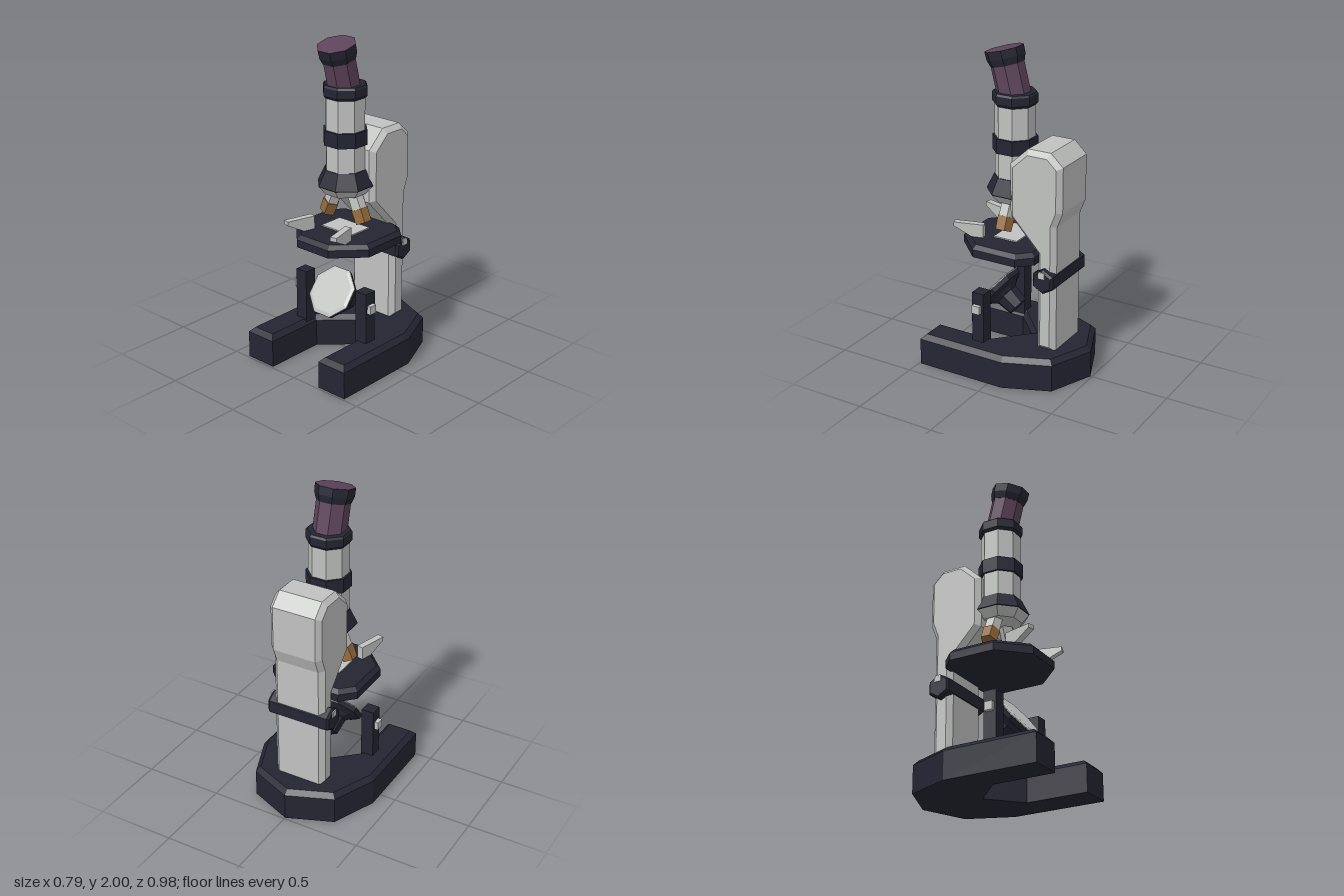
import * as THREE from 'three';

const mat = (name, color) => {
  const m = new THREE.MeshStandardMaterial({ color });
  m.name = name;
  return m;
};

// Faceted look: every triangle gets its own normal
function facet(geo) {
  const g = geo.index ? geo.toNonIndexed() : geo;
  g.computeVertexNormals();
  return g;
}

// Moves every edge of a counter-clockwise outline inwards by d
function inset(pts, d) {
  const n = pts.length;
  const inward = (a, b) => new THREE.Vector2(a.y - b.y, b.x - a.x).normalize();
  return pts.map((p, i) => {
    const n1 = inward(pts[(i + n - 1) % n], p), n2 = inward(p, pts[(i + 1) % n]);
    return n1.clone().add(n2).multiplyScalar(d / (1 + n1.dot(n2))).add(p);
  });
}

// Prism of an outline along z; levels are [height, inset] pairs, so edges can be bevelled
function prism(outline, levels) {
  let pts = outline.map(([x, y]) => new THREE.Vector2(x, y));
  if (THREE.ShapeUtils.isClockWise(pts)) pts = pts.reverse();
  const n = pts.length, pos = [], idx = [];
  for (const [h, d] of levels) for (const p of inset(pts, d)) pos.push(p.x, p.y, h);
  for (let l = 0; l < levels.length - 1; l++) {
    for (let i = 0; i < n; i++) {
      const a = l * n + i, b = l * n + (i + 1) % n;
      idx.push(a, b, b + n, a, b + n, a + n);
    }
  }
  const top = (levels.length - 1) * n;
  for (const [a, b, c] of THREE.ShapeUtils.triangulateShape(pts, [])) {
    idx.push(c, b, a, top + a, top + b, top + c);
  }
  const g = new THREE.BufferGeometry();
  g.setAttribute('position', new THREE.Float32BufferAttribute(pos, 3));
  g.setIndex(idx);
  return facet(g);
}

// Outline in (x, z), rising along y
const floorPrism = (outline, levels) =>
  prism(outline.map(([x, z]) => [x, -z]), levels).rotateX(-Math.PI / 2);
// Outline in (z, y), running along x
const sidePrism = (outline, levels) => prism(outline, levels).rotateY(-Math.PI / 2);
// Right half of an outline, completed by mirroring in x (first and last may lie on x = 0)
const mirrored = (half) =>
  [...half, ...half.filter(([x]) => x !== 0).reverse().map(([x, z]) => [-x, z])];

// Eight-sided turned part with flats to the front and sides; r is measured to the flats
const turned = (profile) => facet(new THREE.LatheGeometry(
  profile.map(([r, y]) => new THREE.Vector2(r / Math.cos(Math.PI / 8), y)),
  8, Math.PI / 8));

export function createModel() {
  const root = new THREE.Group();
  const dark = mat('dark enamel', 0x252533);
  const silver = mat('silver metal', 0xc0c2c0);
  const purple = mat('purple eyepiece', 0x5d435a);
  const brass = mat('brass', 0x946a3a);

  const add = (name, geo, material, parent = root) => {
    const m = new THREE.Mesh(geo, material);
    m.name = name;
    parent.add(m);
    return m;
  };

  // Horseshoe base
  const base = [
    [0, -0.49], [0.28, -0.375], [0.395, -0.095], [0.395, 0.487], [0.19, 0.487], [0.19, 0.1],
  ];
  const baseOutline = [...mirrored(base)];
  baseOutline.splice(base.length, 0, [0, -0.08]);
  add('base', floorPrism(baseOutline, [[0, 0], [0.17, 0], [0.2, 0.03]]), dark);

  // Arm with swollen head
  const arm = [
    [-0.2, 0.19], [-0.2, 0.81], [-0.012, 1.01], [-0.012, 1.335], [-0.13, 1.445],
    [-0.28, 1.445], [-0.36, 1.37], [-0.36, 1.09], [-0.325, 1.0], [-0.325, 0.19],
  ];
  add('arm', sidePrism(arm, [[-0.17, 0.03], [-0.14, 0], [0.14, 0], [0.17, 0.03]]), silver);

  // Focus knobs on one axle through the arm
  const hex = [];
  for (let i = 0; i < 6; i++) {
    const a = Math.PI / 2 + i * Math.PI / 3;
    hex.push([-0.263 + 0.078 * Math.cos(a), 0.66 + 0.078 * Math.sin(a)]);
  }
  add('focusKnobs', sidePrism(hex,
    [[-0.21, 0.012], [-0.195, 0], [0.195, 0], [0.21, 0.012]]), dark);

  // Stage
  const stage = mirrored([
    [0.208, -0.215], [0.293, -0.13], [0.293, 0.16], [0.125, 0.33],
  ]);
  add('stage', floorPrism(stage, [[0.76, 0], [0.808, 0], [0.833, 0.025]]), dark);
  add('slide', facet(new THREE.BoxGeometry(0.24, 0.009, 0.16)), silver).position.set(0, 0.836, 0.04);

  const clipSide = [[0, 0.83], [0, 0.915], [0.185, 0.915], [0.185, 0.89], [0.07, 0.83]];
  for (const s of [-1, 1]) {
    // Knob marker
    add('knobMarker', facet(new THREE.BoxGeometry(0.008, 0.04, 0.04)), silver)
      .position.set(s * 0.211, 0.705, -0.263);

    // Stage clips
    const clip = add('stageClip', sidePrism(clipSide, [[-0.021, 0], [0.021, 0]]), silver);
    clip.position.set(s * 0.142, 0, 0.173);
    clip.rotation.y = s * 0.26;

    // Mirror posts and pivot pins
    add('mirrorPost', facet(new THREE.BoxGeometry(0.082, 0.34, 0.08)), dark)
      .position.set(s * 0.244, 0.352, 0.135);
    add('mirrorPin', facet(new THREE.BoxGeometry(0.07, 0.052, 0.052)), silver)
      .position.set(s * 0.275, 0.42, 0.137);

    // Five-sided objectives splayed outwards
    const objective = new THREE.Group();
    objective.name = 'objective';
    objective.position.set(s * 0.06, 1.09, 0.04);
    objective.rotation.y = s > 0 ? 0 : Math.PI;
    const tilt = new THREE.Group();
    tilt.name = 'objectiveTilt';
    tilt.rotation.z = 0.42;
    objective.add(tilt);
    const turn = -Math.PI / 2; // one corner faces inwards
    add('objectiveBarrel', facet(new THREE.CylinderGeometry(0.047, 0.047, 0.14, 5, 1, false, turn)),
      silver, tilt).position.y = -0.06;
    add('objectiveTip', facet(new THREE.CylinderGeometry(0.053, 0.05, 0.085, 5, 1, false, turn)),
      brass, tilt).position.y = -0.162;
    root.add(objective);
  }

  // Tilting mirror
  const mirror = new THREE.Group();
  mirror.name = 'mirror';
  mirror.position.set(0, 0.45, 0.16);
  mirror.rotation.x = 0.913;
  add('mirrorMount', turned([
    [0, -0.175], [0.062, -0.175], [0.075, -0.075], [0.1, -0.05], [0.145, -0.03], [0.153, 0], [0, 0],
  ]), dark, mirror);
  add('mirrorFace', turned([[0.151, 0], [0.151, 0.004], [0.131, 0.012], [0, 0.012]]), silver, mirror);
  root.add(mirror);

  // Body tube with collars and nosepiece
  const tube = new THREE.Group();
  tube.name = 'bodyTube';
  tube.position.z = 0.04;
  add('tubeBarrel', turned([[0.113, 1.15], [0.113, 1.7]]), silver, tube);
  add('nosepieceRim', turned([[0, 1.065], [0.118, 1.065], [0.157, 1.115]]), silver, tube);
  add('nosepiece', turned([[0.157, 1.115], [0.16, 1.12], [0.118, 1.215], [0, 1.215]]), dark, tube);
  add('lowerCollar', turned([[0, 1.37], [0.126, 1.37], [0.126, 1.46], [0, 1.46]]), dark, tube);
  add('upperCollar', turned([
    [0, 1.653], [0.115, 1.653], [0.126, 1.668], [0.126, 1.718], [0.118, 1.73], [0, 1.73],
  ]), dark, tube);
  root.add(tube);

  // Eyepiece leaning forward
  const eyepiece = new THREE.Group();
  eyepiece.name = 'eyepiece';
  eyepiece.position.set(0, 1.73, 0.053);
  eyepiece.rotation.x = 0.25;
  add('eyepieceBarrel', turned([[0.093, -0.04], [0.093, 0.18]]), purple, eyepiece);
  add('eyecup', turned([[0, 0.158], [0.095, 0.158], [0.108, 0.2], [0.109, 0.25]]), dark, eyepiece);
  add('eyepieceLens', turned([[0.109, 0.25], [0, 0.25]]), purple, eyepiece);
  root.add(eyepiece);

  return root;
}
